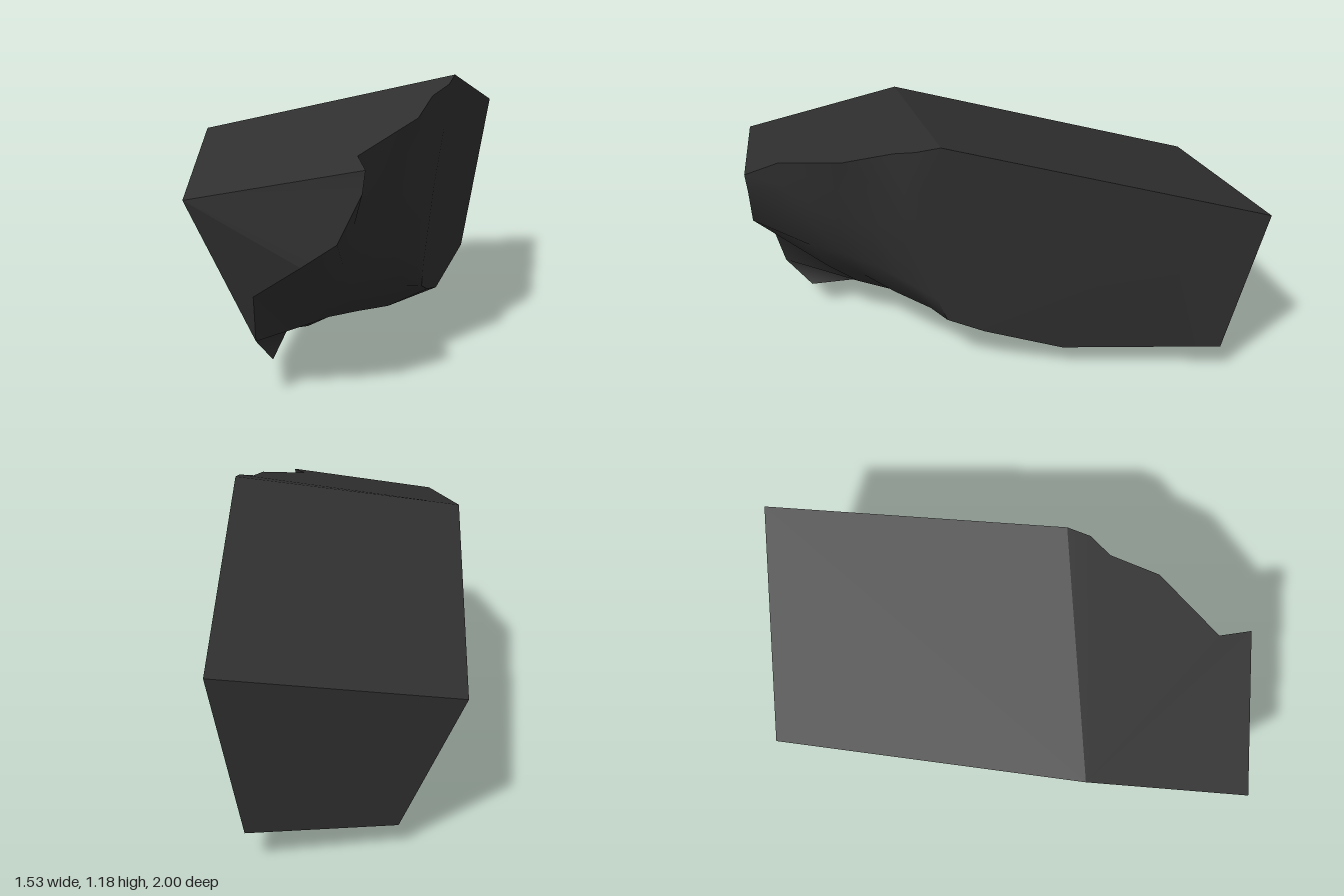
import * as THREE from 'three';

const material = new THREE.MeshStandardMaterial({ color: 0x303030, roughness: 0.9 });

// Corners of the cleaved block
const topBackLeft = [-0.22, 0.68, -1.0], topBackRight = [0.765, 0.885, -0.93];
const ridgeLeft = [-0.66, 0.97, 0.22], frontLeft = [-0.77, 0.82, 0.87];
const baseBackLeft = [0.01, 0.11, -0.9], baseBackRight = [0.615, 0.16, -0.85];

// Broken front: columns run from the right side to the front left, each from top to bottom
const columns = [
  [[0.34, 1.18, 0.3], [0.28, 0.96, 0.38], [0.25, 0.75, 0.36], [0.22, 0.39, 0.29], [0.22, 0.28, 0.25], [0.27, 0.22, 0.1], [0.37, 0.13, -0.22]],
  [[0.3, 1.155, 0.39], [0.25, 0.96, 0.43], [0.2, 0.75, 0.43], [0.17, 0.45, 0.38], [0.14, 0.3, 0.3], [0.1, 0.15, 0.1], [-0.1, 0, -0.36]],
  [[0.22, 1.12, 0.46], [0.17, 0.95, 0.52], [0.1, 0.75, 0.54], [0.06, 0.5, 0.5], [0, 0.32, 0.42], [-0.05, 0.18, 0.25], [-0.19, 0.06, -0.07]],
  [[0.13, 1.065, 0.65], [0.05, 0.9, 0.66], [-0.01, 0.7, 0.64], [-0.07, 0.5, 0.6], [-0.14, 0.34, 0.52], [-0.19, 0.2, 0.38], [-0.25, 0.08, 0.12]],
  [[-0.13, 0.965, 0.86], [-0.12, 0.85, 0.84], [-0.13, 0.68, 0.76], [-0.17, 0.52, 0.74], [-0.23, 0.36, 0.66], [-0.28, 0.22, 0.52], [-0.36, 0.17, 0.42]],
  [[-0.12, 0.94, 1], [-0.13, 0.85, 0.99], [-0.22, 0.66, 0.97], [-0.35, 0.57, 0.94], [-0.52, 0.44, 0.85], [-0.51, 0.25, 0.8], [-0.44, 0.14, 0.7]],
];

function makeMesh(name, points, index) {
  const geometry = new THREE.BufferGeometry();
  geometry.setAttribute('position', new THREE.Float32BufferAttribute(points.flat(), 3));
  geometry.setIndex(index);
  geometry.computeVertexNormals();
  const mesh = new THREE.Mesh(geometry, material);
  mesh.name = name;
  return mesh;
}

// Flat face as a fan from its first corner, counter-clockwise from outside
function facet(name, points) {
  const index = [];
  for (let i = 1; i < points.length - 1; i++) index.push(0, i, i + 1);
  return makeMesh(name, points, index);
}

// Smooth skin across the columns
function fracture(name) {
  const rows = columns[0].length, index = [];
  for (let c = 0; c < columns.length - 1; c++) {
    for (let r = 0; r < rows - 1; r++) {
      const a = c * rows + r, b = a + rows;
      index.push(a, b, a + 1, b, b + 1, a + 1);
    }
  }
  return makeMesh(name, columns.flat(), index);
}

export function createModel() {
  const rock = new THREE.Group();
  rock.name = 'rock';
  const right = columns[0], front = columns[5];
  const topRim = columns.map((c) => c[0]);
  const bottomRim = columns.map((c) => c[6]);

  rock.add(
    fracture('brokenFront'),
    facet('topFace', [ridgeLeft, right[0], topBackRight, topBackLeft]),
    facet('topFrontFace', [ridgeLeft, frontLeft, ...[...topRim].reverse()]),
    facet('backFace', [topBackLeft, topBackRight, baseBackRight, baseBackLeft]),
    facet('rightFace', [topBackRight, ...right, baseBackRight]),
    facet('leftFace', [ridgeLeft, topBackLeft, baseBackLeft, ...bottomRim.slice(1), front[5], frontLeft]),
    facet('bottomFace', [baseBackRight, bottomRim[0], bottomRim[1], baseBackLeft]),
    facet('frontFacet', [frontLeft, front[3], front[2], front[1], front[0]]),
    facet('lowerFrontFacet', [frontLeft, front[5], front[4], front[3]]),
  );
  return rock;
}
